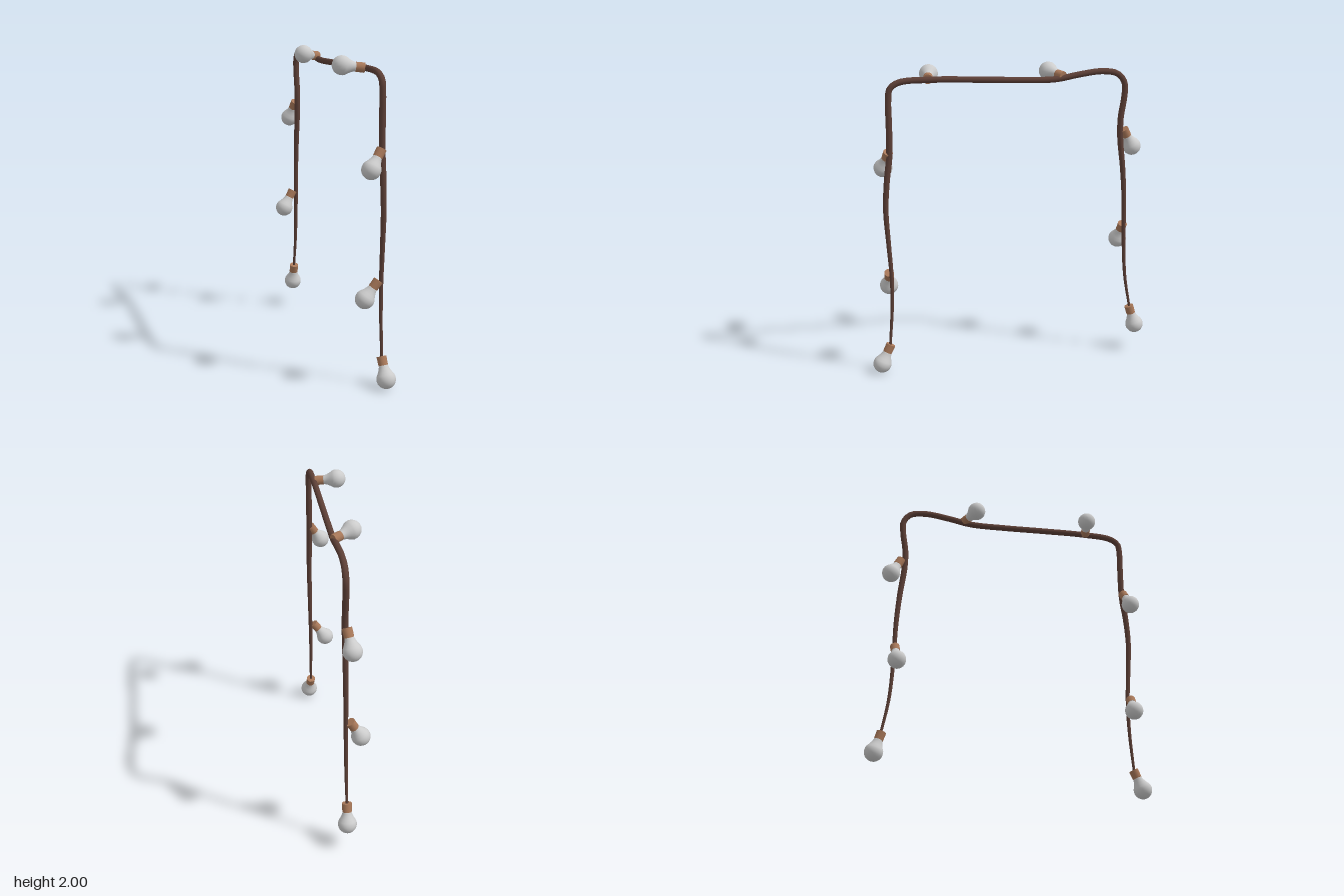
import * as THREE from 'three';

const CABLE_X = 0.065;

// Cable path as [z, y], from the front end over the top to the back end
const PATH = [
  [0.82, 0.17], [0.80, 0.44], [0.797, 0.65], [0.81, 0.87], [0.822, 1.10], [0.81, 1.29],
  [0.79, 1.45], [0.787, 1.66], [0.788, 1.79], [0.776, 1.875], [0.72, 1.912], [0.51, 1.923],
  [0.24, 1.915], [-0.05, 1.903], [-0.29, 1.90], [-0.45, 1.926], [-0.605, 1.942], [-0.71, 1.922],
  [-0.758, 1.86], [-0.757, 1.767], [-0.737, 1.634], [-0.737, 1.50], [-0.76, 1.29],
  [-0.775, 1.077], [-0.78, 0.81], [-0.796, 0.546], [-0.838, 0.30],
];

// Bulbs: socket start and centre of the glass ball
const BULBS = [
  [[0.065, 0.19, 0.815], [0.072, 0.064, 0.875]],
  [[0.04, 0.675, 0.81], [-0.043, 0.565, 0.802]],
  [[0.055, 1.47, 0.797], [-0.017, 1.36, 0.822]],
  [[0.055, 1.925, 0.535], [-0.082, 1.942, 0.507]],
  [[0.062, 1.92, -0.335], [-0.05, 1.94, -0.272]],
  [[0.058, 1.55, -0.765], [0.036, 1.435, -0.828]],
  [[0.037, 0.9, -0.778], [-0.03, 0.783, -0.768]],
  [[0.065, 0.315, -0.833], [0.068, 0.187, -0.873]],
];

function createCable(material) {
  const curve = new THREE.CatmullRomCurve3(PATH.map(([z, y]) => new THREE.Vector3(CABLE_X, y, z)));
  const segments = 160, sides = 12;
  const geometry = new THREE.TubeGeometry(curve, segments, 0.02, sides);
  const pos = geometry.attributes.position;
  const v = new THREE.Vector3();
  // Thin the cable toward both ends
  for (let i = 0; i <= segments; i++) {
    const u = i / segments;
    const centre = curve.getPointAt(u);
    const scale = 0.42 + 0.58 * Math.min(1, Math.min(u, 1 - u) / 0.25);
    for (let j = 0; j <= sides; j++) {
      const k = i * (sides + 1) + j;
      v.fromBufferAttribute(pos, k).sub(centre).multiplyScalar(scale).add(centre);
      pos.setXYZ(k, v.x, v.y, v.z);
    }
  }
  geometry.computeBoundingSphere();
  const cable = new THREE.Mesh(geometry, material);
  cable.name = 'cable';
  return cable;
}

// Glass profile along +y: straight neck flaring into a ball centred at y = 0.14
function createGlassGeometry() {
  const points = [[0, 0.045], [0.027, 0.045], [0.029, 0.062], [0.035, 0.08], [0.045, 0.1]]
    .map(([r, y]) => new THREE.Vector2(r, y));
  for (let i = 0; i <= 8; i++) {
    const a = THREE.MathUtils.lerp(-0.38, Math.PI / 2, i / 8);
    points.push(new THREE.Vector2(Math.max(0, 0.06 * Math.cos(a)), 0.14 + 0.06 * Math.sin(a)));
  }
  return new THREE.LatheGeometry(points, 20);
}

export function createModel() {
  const model = new THREE.Group();
  model.name = 'bulbGarland';

  const brown = new THREE.MeshStandardMaterial({ color: 0x5d4037 });
  const copper = new THREE.MeshStandardMaterial({ color: 0xa9795a });
  const grey = new THREE.MeshStandardMaterial({ color: 0xcccccc });

  model.add(createCable(brown));

  const socketGeometry = new THREE.CylinderGeometry(0.03, 0.031, 0.056, 16).translate(0, 0.028, 0);
  const glassGeometry = createGlassGeometry();
  const up = new THREE.Vector3(0, 1, 0);

  BULBS.forEach(([base, ball], i) => {
    const bulb = new THREE.Group();
    bulb.name = `bulb${i + 1}`;
    const socket = new THREE.Mesh(socketGeometry, copper);
    socket.name = 'socket';
    const glass = new THREE.Mesh(glassGeometry, grey);
    glass.name = 'glass';
    bulb.add(socket, glass);

    // Aim the bulb and seat its ball exactly on the given centre
    const centre = new THREE.Vector3(...ball);
    const dir = centre.clone().sub(new THREE.Vector3(...base)).normalize();
    bulb.quaternion.setFromUnitVectors(up, dir);
    bulb.position.copy(centre).addScaledVector(dir, -0.14);
    model.add(bulb);
  });

  return model;
}
